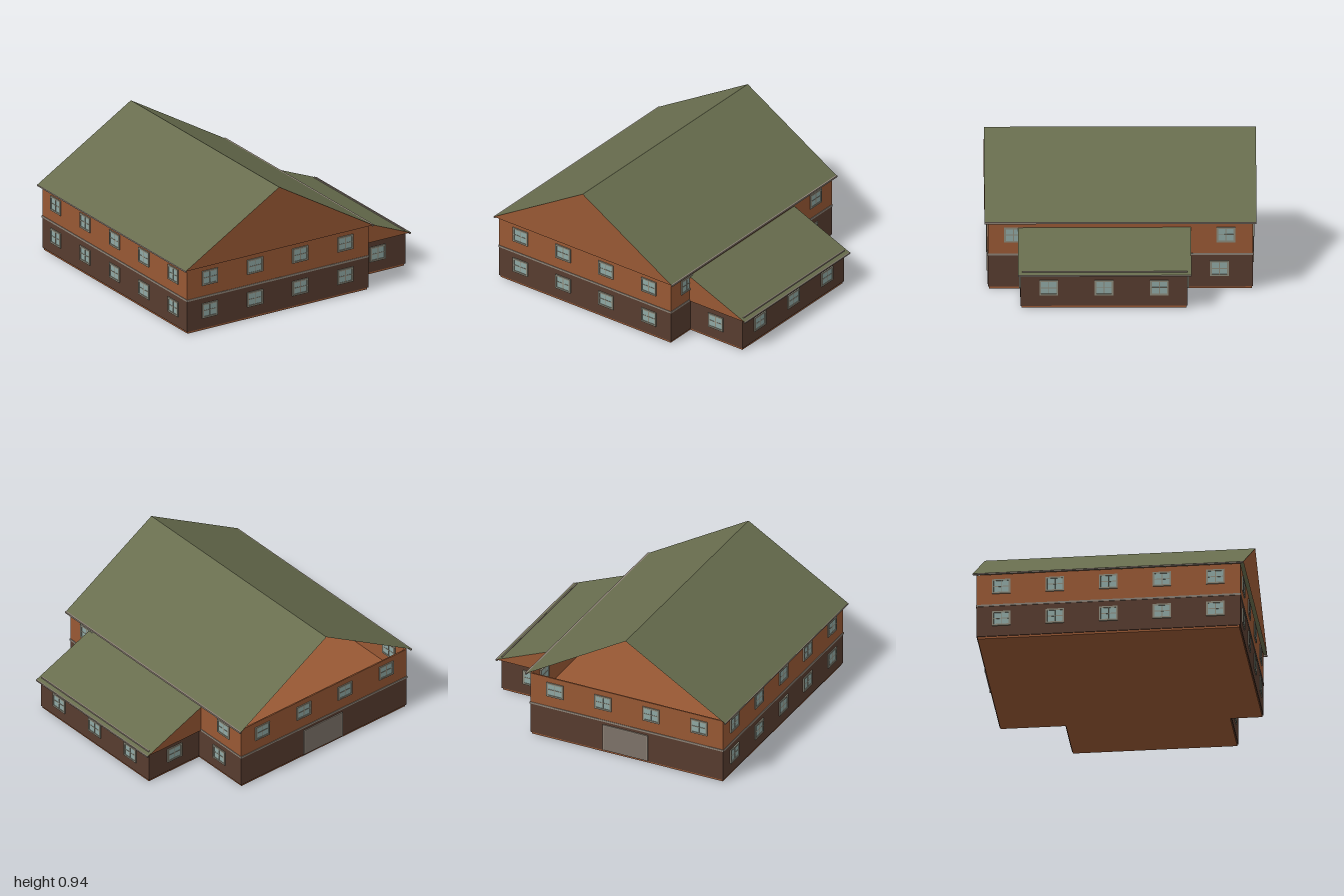
import * as THREE from 'three';

const material = (name, color, side = THREE.FrontSide) => {
  const m = new THREE.MeshStandardMaterial({ color, side });
  m.name = name;
  return m;
};

export function createModel() {
  const house = new THREE.Group();
  house.name = 'house';
  const orange = material('orangeTimber', 0x985834, THREE.DoubleSide);
  const brown = material('darkBrownWall', 0x573c2f);
  const green = material('greenRoof', 0x686d4e, THREE.DoubleSide);
  const trim = material('greyTrim', 0x8b8074);
  const frame = material('windowFrame', 0x8c8a7b);
  const glass = material('paleGlass', 0x8fa8a4);
  const doorGrey = material('doorGrey', 0x7d7369);

  // Box given by its limits on each axis
  const box = (name, mat, x0, x1, y0, y1, z0, z1, parent = house) => {
    const mesh = new THREE.Mesh(new THREE.BoxGeometry(x1 - x0, y1 - y0, z1 - z0), mat);
    mesh.position.set((x0 + x1) / 2, (y0 + y1) / 2, (z0 + z1) / 2);
    mesh.name = name;
    parent.add(mesh);
    return mesh;
  };

  // Sloping roof plane between two x/y points, running along z
  const slope = (name, [xa, ya], [xb, yb], z0, z1) => {
    const g = new THREE.BufferGeometry();
    g.setAttribute('position', new THREE.Float32BufferAttribute(
      [xa, ya, z0, xa, ya, z1, xb, yb, z1, xb, yb, z0], 3));
    g.setIndex([0, 1, 2, 0, 2, 3]);
    g.computeVertexNormals();
    const mesh = new THREE.Mesh(g, green);
    mesh.name = name;
    house.add(mesh);
  };

  // Flat gable panel across the building at depth z
  const gable = (name, points, z) => {
    const shape = new THREE.Shape(points.map(([x, y]) => new THREE.Vector2(x, y)));
    const mesh = new THREE.Mesh(new THREE.ShapeGeometry(shape), orange);
    mesh.position.z = z;
    mesh.name = name;
    house.add(mesh);
  };

  // Window with four panes; turn faces it outward from its wall
  const addWindow = (x, y, z, turn) => {
    const w = new THREE.Group();
    w.name = 'window';
    const hw = 0.064, hh = 0.054, t = 0.012, d0 = -0.022, d1 = 0.008;
    box('glass', glass, -hw + t, hw - t, -hh + t, hh - t, -0.018, 0.003, w);
    for (const s of [-1, 1]) {
      const cx = s * (hw - t / 2), cy = s * (hh - t / 2);
      box('frameSide', frame, cx - t / 2, cx + t / 2, -hh, hh, d0, d1, w);
      box('frameRail', frame, -hw + t, hw - t, cy - t / 2, cy + t / 2, d0, d1, w);
    }
    box('verticalBar', frame, -0.003, 0.003, -hh + t, hh - t, -0.02, 0.005, w);
    box('crossBar', frame, -hw + t, hw - t, -0.003, 0.003, -0.02, 0.005, w);
    w.position.set(x, y, z);
    w.rotation.y = turn;
    house.add(w);
  };

  // Main block and side wing limits
  const L = -0.97, R = 0.515, F = 0.912, wingR = 0.965, wingB = -0.46, wingF = 0.69;

  // Base slabs and ground floor
  box('baseSlab', orange, L + 0.007, R - 0.007, 0, 0.015, -F + 0.007, F - 0.007);
  box('wingBaseSlab', orange, R - 0.007, wingR - 0.007, 0, 0.015, wingB + 0.007, wingF - 0.007);
  box('groundFloorWalls', brown, L, R, 0.015, 0.24, -F, F);
  box('wingWalls', brown, R, wingR, 0.015, 0.24, wingB, wingF);

  // Band between the storeys, with the upper floor on it
  box('storeyBand', trim, L - 0.004, R + 0.004, 0.24, 0.254, -F - 0.004, F + 0.004);
  box('upperFloor', orange, L + 0.01, R - 0.01, 0.25, 0.257, -F + 0.01, F - 0.01);
  box('wingBand', trim, wingR - 0.006, wingR + 0.003, 0.24, 0.263, wingB, wingF - 0.01);

  // Upper storey walls, open to the roof
  const t = 0.01;
  for (const [name, z] of [['upperFrontWall', F - t], ['upperBackWall', -F]]) {
    box(name, orange, L, R, 0.254, 0.48, z, z + t);
  }
  for (const [name, x] of [['upperRightWall', L], ['upperLeftWall', R - t]]) {
    box(name, orange, x, x + t, 0.254, 0.48, -F + t, F - t);
  }

  // Main roof: closed gable in front, open at the back
  const eaveA = [-0.998, 0.48], eaveB = [0.54, 0.48], ridge = [-0.23, 0.935], roofZ = 0.935;
  slope('roofRightSlope', eaveA, ridge, -roofZ, roofZ);
  slope('roofLeftSlope', ridge, eaveB, -roofZ, roofZ);
  gable('frontGable', [eaveA, eaveB, ridge], roofZ);

  // Wing roof with a closed gable at each end
  const wingTop = [R, 0.44], wingEave = [0.997, 0.242];
  slope('wingRoof', wingTop, wingEave, -0.485, 0.705);
  for (const z of [-0.483, 0.703]) {
    gable('wingGable', [[R, 0.242], wingEave, wingTop], z);
  }

  // Gutters along the eaves
  box('rightGutter', trim, -1, -0.988, 0.472, 0.482, -roofZ, roofZ);
  box('leftGutter', trim, 0.533, 0.545, 0.472, 0.484, -roofZ, roofZ);
  box('wingGutter', trim, 0.988, 1, 0.234, 0.244, -0.485, 0.705);

  // Windows on the front and back
  const low = 0.145, high = 0.387, quarter = Math.PI / 2;
  for (const x of [-0.785, -0.415, -0.045, 0.325]) {
    addWindow(x, low, F, 0);
    addWindow(x, high, F, 0);
    addWindow(x, high, -F, Math.PI);
  }
  addWindow(0.735, low, wingF, 0);
  addWindow(0.735, low, wingB, Math.PI);

  // Windows on the two sides
  for (const z of [-0.74, -0.37, 0, 0.37, 0.74]) {
    addWindow(L, low, z, -quarter);
    addWindow(L, high, z, -quarter);
  }
  for (const z of [-0.265, 0.115, 0.495]) addWindow(wingR, low, z, quarter);
  addWindow(R, low, -0.68, quarter);
  for (const z of [-0.725, 0.735]) addWindow(R, high, z, quarter);

  // Wide back door with a thin surround
  box('backDoor', doorGrey, -0.38, -0.055, 0.018, 0.21, -F - 0.005, -F);
  box('doorLintel', trim, -0.39, -0.045, 0.21, 0.218, -F - 0.008, -F);
  for (const x of [-0.39, -0.055]) {
    box('doorJamb', trim, x, x + 0.01, 0.018, 0.21, -F - 0.008, -F);
  }

  return house;
}
